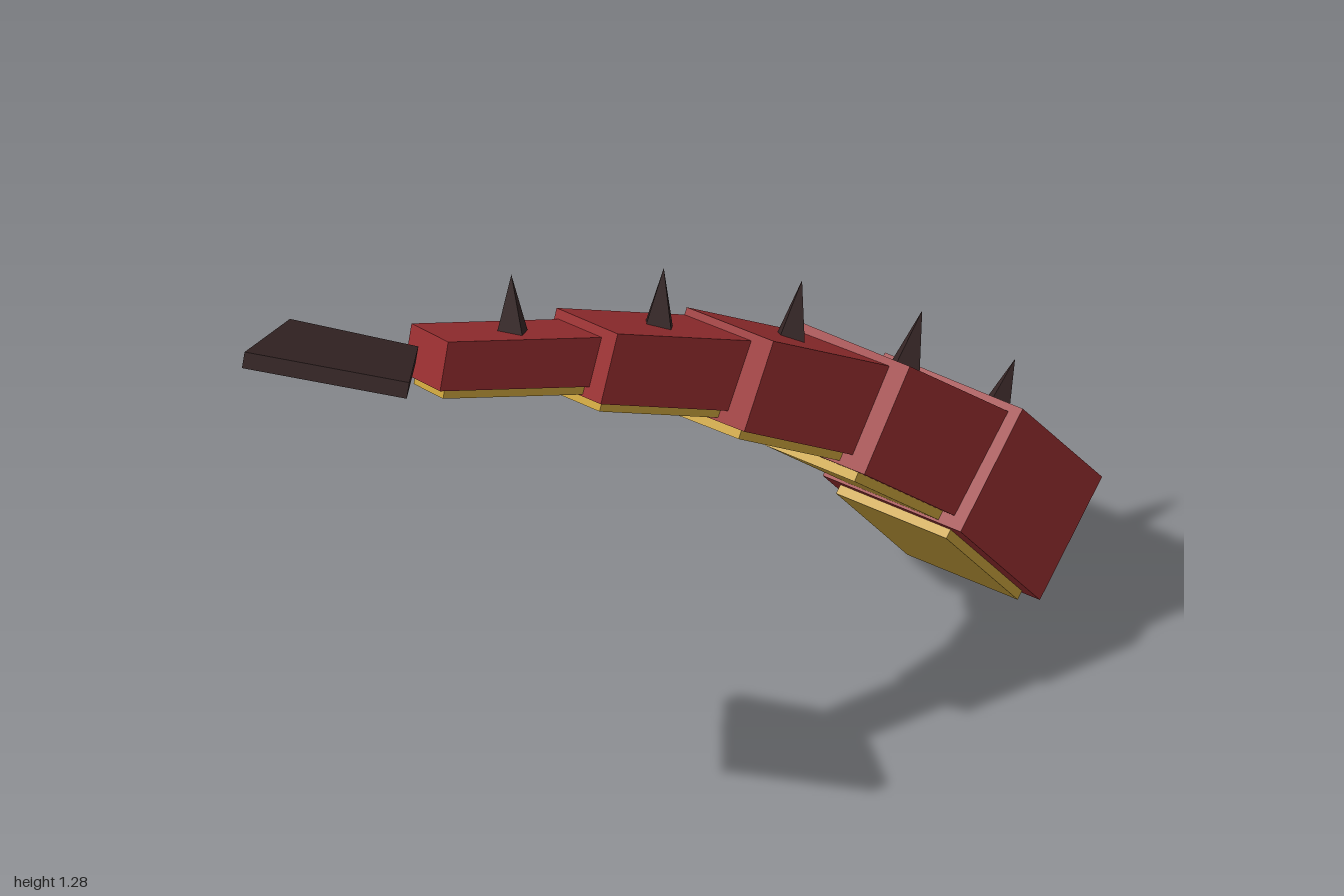
import * as THREE from 'three';

const red = new THREE.MeshStandardMaterial({ color: 0x982e30 });
red.name = 'red hide';
const yellow = new THREE.MeshStandardMaterial({ color: 0xc9a23c });
yellow.name = 'yellow belly';
const dark = new THREE.MeshStandardMaterial({ color: 0x342424, flatShading: true });
dark.name = 'dark horn';

const LENGTH = 0.41;

function addMesh(parent, name, geometry, material) {
  const mesh = new THREE.Mesh(geometry, material);
  mesh.name = name;
  parent.add(mesh);
  return mesh;
}

// One tail block; its origin is the middle of the top face, the tail runs along -x
function tailSegment(width) {
  const segment = new THREE.Group();
  const height = width * 0.815;
  addMesh(segment, 'hideBlock', new THREE.BoxGeometry(LENGTH, height, width), red)
    .position.y = -height / 2;
  addMesh(segment, 'bellyPlate', new THREE.BoxGeometry(LENGTH * 0.9, 0.04, width * 0.8), yellow)
    .position.y = -height;

  // four-sided spike, leaning toward the tip and sunk slightly into the block
  const cone = new THREE.ConeGeometry(0.043, 0.14, 4);
  cone.translate(0, 0.07 - 0.02, 0);
  addMesh(segment, 'backSpike', cone, dark).rotation.z = 0.2;
  return segment;
}

// Kite-shaped blade, extruded flat and then sheared onto a sloping plane
function tipBlade() {
  const thick = 0.034;
  const corners = [[-0.99, -0.29], [-0.84, 0.01], [-0.605, -0.14], [-0.7, -0.39]];
  const shape = new THREE.Shape(corners.map(([x, z]) => new THREE.Vector2(x, -z)));
  const geometry = new THREE.ExtrudeGeometry(shape, { depth: thick, bevelEnabled: false });
  geometry.rotateX(-Math.PI / 2);
  const p = geometry.attributes.position;
  for (let i = 0; i < p.count; i++) {
    const x = p.getX(i), z = p.getZ(i), down = thick - p.getY(i);
    const top = 1.29 - 0.377 * (x + 0.99) + 0.068 * (z + 0.29);
    p.setXYZ(i, x - 0.35 * down, top - 0.93 * down, z + 0.06 * down);
  }
  geometry.computeVertexNormals();
  return geometry;
}

export function createModel() {
  const tail = new THREE.Group();
  tail.name = 'tail';

  // top centre, rise, turn and roll in degrees, from root to tip
  const joints = [
    { at: [0.855, 0.345, 0.22], rise: 49, turn: 0, roll: 0 },
    { at: [0.574, 0.606, 0.207], rise: 41, turn: 4, roll: 0 },
    { at: [0.264, 0.823, 0.15], rise: 33.5, turn: 7.7, roll: 1.5 },
    { at: [-0.06, 0.992, 0.058], rise: 26, turn: 13, roll: 2.5 },
    { at: [-0.398, 1.114, -0.06], rise: 19.5, turn: 20, roll: 4 },
  ];
  joints.forEach(({ at, rise, turn, roll }, i) => {
    const segment = tailSegment(0.343 - 0.054 * i);
    segment.name = `tailSegment${i + 1}`;
    segment.position.set(...at);
    const rad = THREE.MathUtils.degToRad;
    segment.rotation.set(-rad(roll), -rad(turn), -rad(rise), 'ZYX');
    tail.add(segment);
  });

  addMesh(tail, 'tipBlade', tipBlade(), dark);
  return tail;
}
